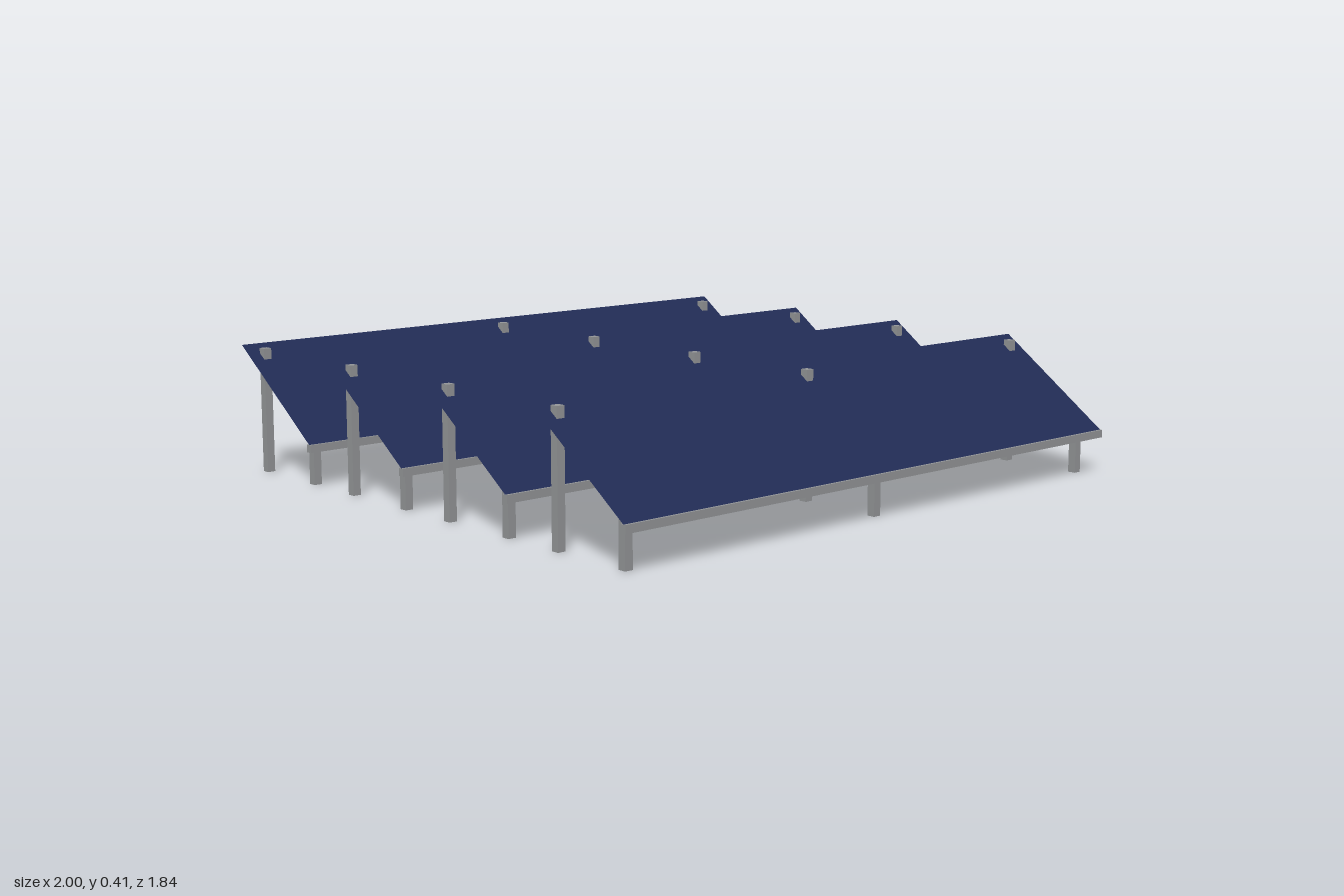
import * as THREE from 'three';

export function createModel() {
  const model = new THREE.Group();
  model.name = 'solarArray';

  const panelBlue = new THREE.MeshStandardMaterial({ color: 0x212b54 });
  panelBlue.name = 'panelBlue';
  const frameGrey = new THREE.MeshStandardMaterial({ color: 0x949698 });
  frameGrey.name = 'frameGrey';

  const ROWS = 4, PITCH = 0.4866, POST = 0.026;
  const postX = [-0.945, 0, 0.945];

  // Sloped panel section within a row, as z and y of its two long edges
  const back = { z: -0.192, y: 0.406 };
  const front = { z: 0.184, y: 0.137 };
  const length = Math.hypot(front.z - back.z, back.y - front.y);
  const tilt = Math.atan2(back.y - front.y, front.z - back.z);

  function add(parent, name, geometry, material, x, y, z) {
    const mesh = new THREE.Mesh(geometry, material);
    mesh.name = name;
    mesh.position.set(x, y, z);
    parent.add(mesh);
    return mesh;
  }

  // Panel faces: blue above, grey below
  const topFace = new THREE.PlaneGeometry(2, length).rotateX(-Math.PI / 2 + tilt);
  const underFace = new THREE.PlaneGeometry(2, length).rotateX(Math.PI / 2 + tilt);
  const rail = new THREE.BoxGeometry(2, 0.024, 0.02);
  const tallPost = new THREE.BoxGeometry(POST, 0.396, POST);
  const shortPost = new THREE.BoxGeometry(POST, 0.151, POST);

  for (let i = 0; i < ROWS; i++) {
    const row = new THREE.Group();
    row.name = 'panelRow' + (i + 1);
    row.position.z = (i - (ROWS - 1) / 2) * PITCH;
    model.add(row);

    const midY = (back.y + front.y) / 2;
    const midZ = (back.z + front.z) / 2;
    add(row, 'panelTop', topFace, panelBlue, 0, midY, midZ);
    add(row, 'panelUnderside', underFace, frameGrey, 0, midY - 0.001, midZ);

    // Rail along the low front edge
    add(row, 'frontRail', rail, frameGrey, 0, 0.125, 0.182);

    // Tall posts poke through the panel, short ones stop beneath it
    for (const x of postX) {
      add(row, 'rearPost', tallPost, frameGrey, x, 0.198, -0.143);
      add(row, 'frontPost', shortPost, frameGrey, x, 0.0755, 0.129);
    }
  }
  return model;
}
